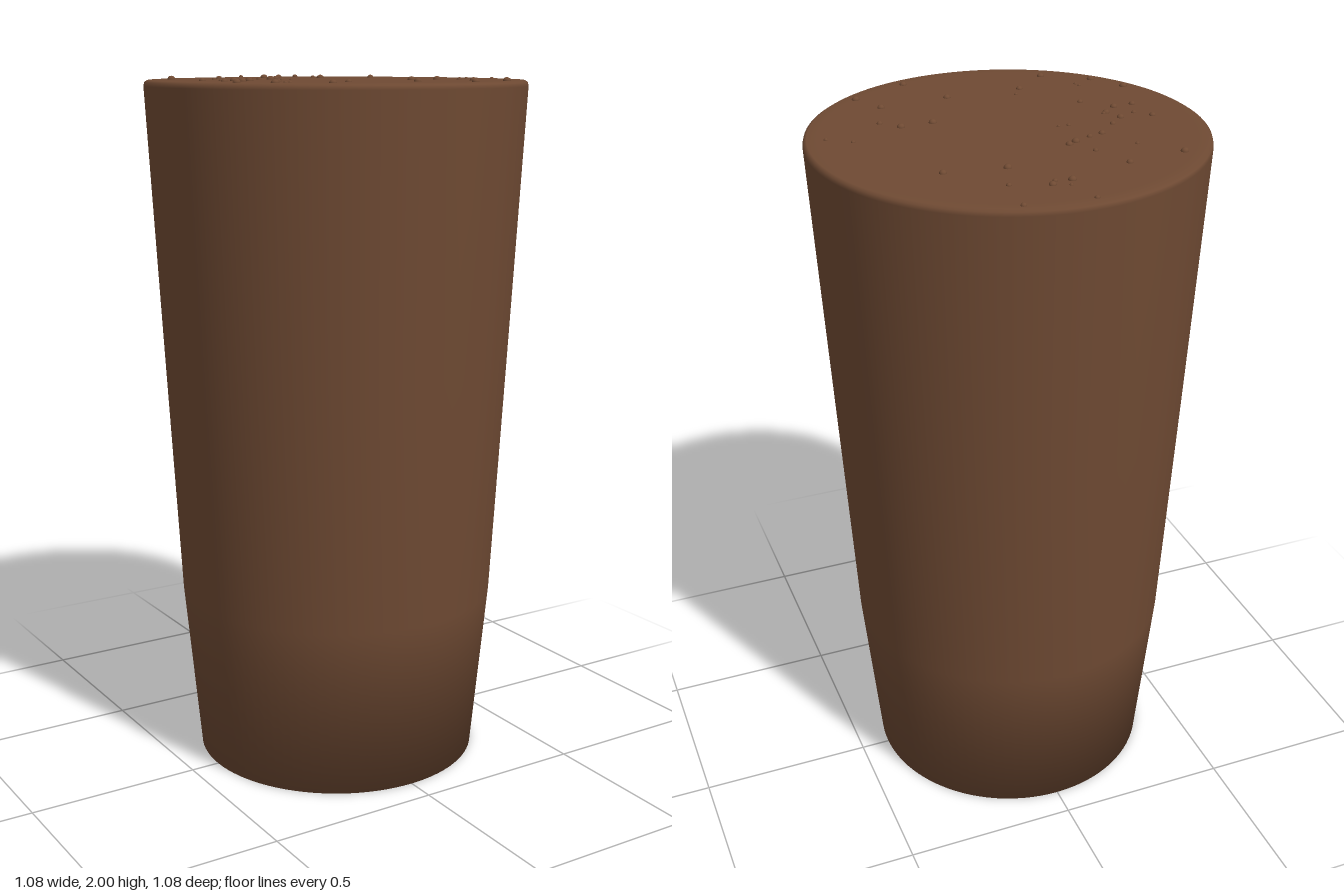
import * as THREE from 'three';

const SURFACE = 1.99;

// bubbles floating on the liquid: [x, z, radius]
const BUBBLES = [
  [-0.03, -0.505, 0.007], [0.152, -0.486, 0.008], [-0.005, -0.408, 0.005], [0.037, -0.39, 0.01],
  [-0.021, -0.377, 0.011], [0.022, -0.369, 0.007], [0.138, -0.355, 0.007], [-0.203, -0.322, 0.009],
  [-0.368, -0.301, 0.011], [0.097, -0.244, 0.011], [0.26, -0.22, 0.01], [-0.279, -0.207, 0.006],
  [-0.157, -0.214, 0.007], [-0.112, -0.149, 0.01], [-0.136, -0.135, 0.011], [-0.185, -0.114, 0.008],
  [-0.225, -0.103, 0.009], [-0.283, -0.046, 0.008], [-0.412, -0.023, 0.009], [-0.324, -0.007, 0.01],
  [-0.168, -0.014, 0.006], [-0.14, -0.012, 0.005], [-0.374, 0.015, 0.007], [-0.303, 0.042, 0.01],
  [-0.294, 0.037, 0.006], [-0.4, 0.081, 0.009], [-0.343, 0.078, 0.01], [-0.273, 0.148, 0.008],
  [-0.444, 0.232, 0.011], [-0.329, 0.281, 0.005], [-0.325, 0.299, 0.005], [-0.383, 0.322, 0.011],
  [-0.132, 0.274, 0.005], [-0.159, 0.316, 0.009], [-0.259, 0.4, 0.01], [0.058, 0.319, 0.01],
  [0.136, 0.472, 0.01], [0.3, 0.395, 0.011], [0.255, 0.304, 0.01], [0.297, 0.183, 0.008],
  [0.162, 0.139, 0.011], [0.252, 0.137, 0.011], [0.404, 0.072, 0.006], [0.465, 0.114, 0.006],
];

export function createModel() {
  const group = new THREE.Group();
  group.name = 'drinkFill';
  const material = new THREE.MeshStandardMaterial({ color: 0x6f4a33 });

  // tapered body of liquid, closed at both ends, with a small rounded top rim
  const profile = [
    [0, 0], [0.415, 0], [0.462, 0.5], [0.5, 1.2], [0.541, 1.974],
    [0.538, 1.985], [0.53, SURFACE], [0.5, SURFACE], [0, SURFACE],
  ].map(([r, y]) => new THREE.Vector2(r, y));
  const liquid = new THREE.Mesh(new THREE.LatheGeometry(profile, 96), material);
  liquid.name = 'liquid';
  group.add(liquid);

  // small bubbles half sunk into the surface
  const bubbles = new THREE.Group();
  bubbles.name = 'bubbles';
  const sphere = new THREE.SphereGeometry(1, 16, 12);
  BUBBLES.forEach(([x, z, r], i) => {
    const bubble = new THREE.Mesh(sphere, material);
    bubble.name = `bubble${i + 1}`;
    bubble.position.set(x, SURFACE, z);
    bubble.scale.set(r, r * 0.9, r);
    bubbles.add(bubble);
  });
  group.add(bubbles);
  return group;
}
